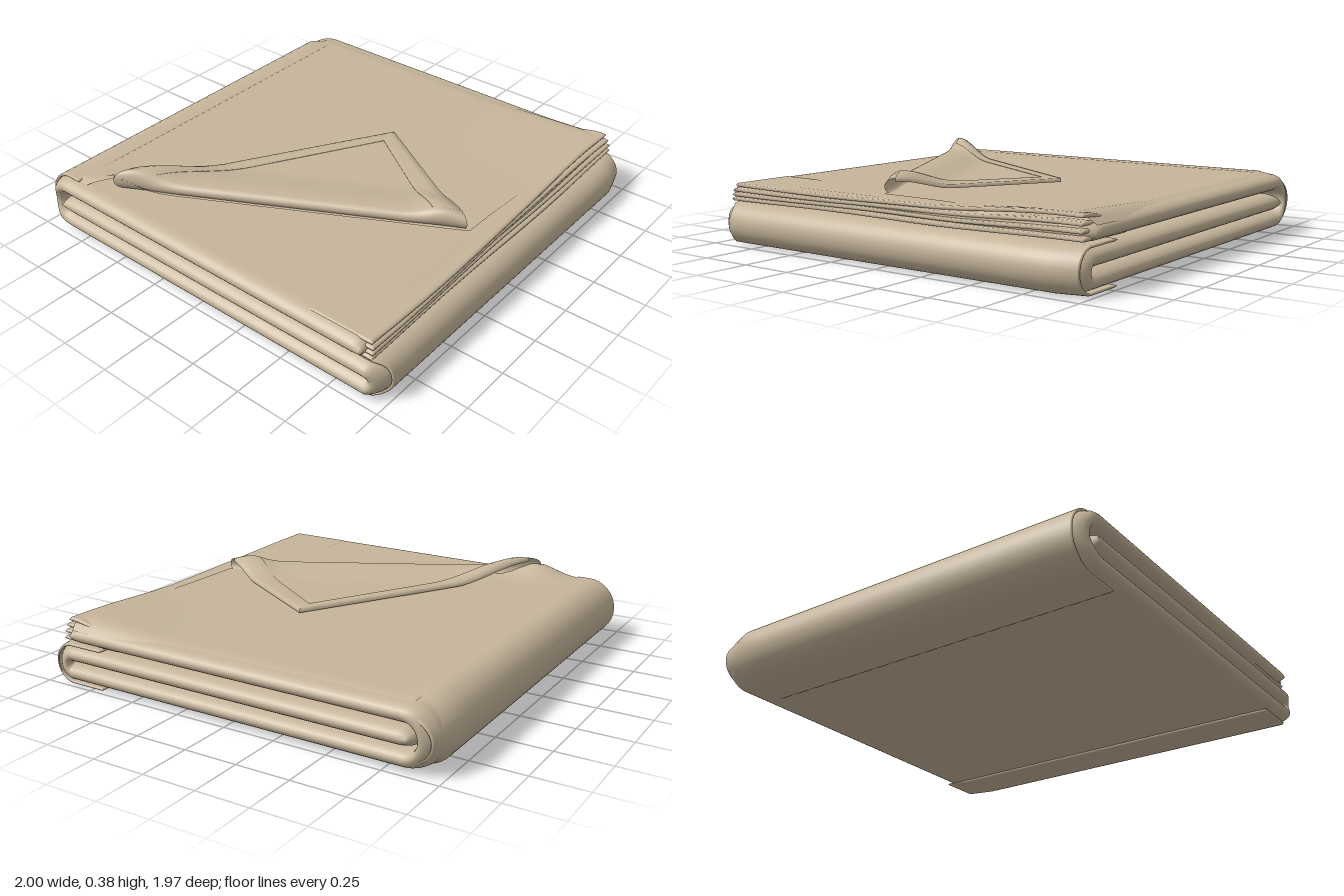
import * as THREE from 'three';
import { mergeVertices } from 'three/addons/utils/BufferGeometryUtils.js';

const { lerp, smoothstep, clamp } = THREE.MathUtils;
const fabric = new THREE.MeshStandardMaterial({ color: 0xc6b59b, side: THREE.DoubleSide });
fabric.name = 'beige fabric';

// Smooth surface from a rule fn(i, j) -> [x, y, z]
function surface(nu, nv, fn) {
  const pos = [], idx = [];
  for (let i = 0; i <= nu; i++) for (let j = 0; j <= nv; j++) pos.push(...fn(i, j));
  for (let i = 0; i < nu; i++) for (let j = 0; j < nv; j++) {
    const a = i * (nv + 1) + j, b = a + nv + 1;
    idx.push(a, b, b + 1, a, b + 1, a + 1);
  }
  let g = new THREE.BufferGeometry();
  g.setAttribute('position', new THREE.Float32BufferAttribute(pos, 3));
  g.setIndex(idx);
  g = mergeVertices(g, 1e-5);
  g.computeVertexNormals();
  return g;
}

// Path pieces in the x-y plane
const line = (x0, x1, y, n = 18) => Array.from({ length: n + 1 }, (_, i) =>
  new THREE.Vector2(lerp(x0, x1, (1 - Math.cos(Math.PI * i / n)) / 2), y));
const arc = (cx, cy, r, a0, a1, n = 16) => Array.from({ length: n - 1 }, (_, i) => {
  const a = lerp(a0, a1, (i + 1) / n) * Math.PI;
  return new THREE.Vector2(cx + r * Math.cos(a), cy + r * Math.sin(a));
});

// Padded sheet following a path, with rounded edges at both z ends and both path ends
function sheet(path, h, w, zBack, zFront, warp = (p) => p) {
  const dist = [0];
  for (let i = 1; i < path.length; i++) dist.push(dist[i - 1] + path[i].distanceTo(path[i - 1]));
  const total = dist[dist.length - 1], last = path.length - 1;
  // closed cross-section: two rounded edges joined by subdivided flat sides
  const ring = [], inner = [zFront - w, zBack + w];
  for (let k = 0; k <= 12; k++) {
    const a = (k / 12 - 0.5) * Math.PI;
    ring.push([Math.sin(a), inner[0] + w * Math.cos(a)]);
  }
  for (let k = 1; k < 16; k++) ring.push([1, lerp(inner[0], inner[1], k / 16)]);
  for (let k = 0; k <= 12; k++) {
    const a = (k / 12 + 0.5) * Math.PI;
    ring.push([Math.sin(a), inner[1] + w * Math.cos(a)]);
  }
  for (let k = 1; k <= 16; k++) ring.push([-1, lerp(inner[1], inner[0], k / 16)]);
  return surface(last, ring.length - 1, (i, j) => {
    const t = path[Math.min(i + 1, last)].clone().sub(path[Math.max(i - 1, 0)]).normalize();
    const e = 1 - Math.min(Math.min(dist[i], total - dist[i]) / h, 1);
    const n = h * ring[j][0] * Math.sqrt(1 - e * e);
    return warp([path[i].x - t.y * n, path[i].y + t.x * n, ring[j][1]]);
  });
}

// Pulls the corners in: chamfer at the back, small step at the front
function corners([x, y, z]) {
  const k = clamp((-0.84 - z) / 0.15, 0, 1) ** 2;
  const side = smoothstep(Math.abs(x), 0.91, 0.99);
  return [x * (1 - 0.045 * k * smoothstep(Math.abs(x), 0.5, 1)), y, z > 0.8 ? z - 0.04 * side : z];
}
// Rounds the thin outer sheets down over the back edge
function overBack([x, y, z]) {
  const k = clamp((-0.88 - z) / 0.1, 0, 1) ** 2;
  const [cx] = corners([x, y, z]);
  return [cx, 0.14 + (y - 0.14) * (1 - 0.28 * k), z];
}

// Turned-over corner: fold line A to B, tip T
const A = new THREE.Vector2(-0.62, 0.87), B = new THREE.Vector2(0.8, 0.12), T = new THREE.Vector2(0.08, -0.31);
const A2 = new THREE.Vector2(-0.5, 0.807), B2 = new THREE.Vector2(0.68, 0.183), T2 = new THREE.Vector2(0.09, -0.215);
const along = B.clone().sub(A), foldLen = along.length();
along.normalize();
const inward = new THREE.Vector2(along.y, -along.x);
const depth = T.clone().sub(B).dot(inward);
const ROLL = 0.035;
const gauss = (v, c, s) => Math.exp(-(((v - c) / s) ** 2));
const foldTop = (s) => 0.334 + 0.046 * gauss(s, 0.03, 0.08) + 0.03 * gauss(s, 0.94, 0.06);
const flapY = (s, d) => lerp(foldTop(s), 0.302, smoothstep(d, 0.05, 0.27));
function flapYAt(p) {
  const d = p.clone().sub(A).dot(inward), t = d / depth;
  const q = p.clone().addScaledVector(T, -t).divideScalar(Math.max(1 - t, 0.05));
  return flapY(clamp(q.sub(A).dot(along) / foldLen, 0, 1), d);
}

function flap() {
  const rollRows = 12, flatRows = 30;
  return surface(48, rollRows + flatRows, (i, j) => {
    const s = i / 48;
    let d, y;
    if (j <= rollRows) {
      const a = (j / rollRows - 0.5) * Math.PI, r = (foldTop(s) - 0.278) / 2;
      d = ROLL * (1 - Math.cos(a));
      y = 0.278 + r + r * Math.sin(a);
    } else {
      d = lerp(ROLL, depth, (j - rollRows) / flatRows);
      y = flapY(s, d);
    }
    const p = A.clone().lerp(B, s).lerp(T, d / depth);
    return [p.x, y, p.y];
  });
}

// Hem strip along one edge of the flap: outer side, raised top, inner step
function hem(o0, o1, i0, i1, t0, t1) {
  const prof = [[0, -0.014], [0, 0.004], [0, 0.004], [0.33, 0.004], [0.67, 0.004], [1, 0.004], [1, -0.001]];
  return surface(30, prof.length - 1, (i, j) => {
    const t = lerp(t0, t1, i / 30);
    const p = o0.clone().lerp(o1, t).lerp(i0.clone().lerp(i1, t), prof[j][0]);
    return [p.x, flapYAt(p) + prof[j][1], p.y];
  });
}

// Top sheet, cut off along the fold line
function topSheet() {
  const rightEdge = (z) => z < B.y ? lerp(0.89, 0.81, smoothstep(z, -1.3, B.y))
    : z < A.y ? lerp(B.x, A.x, (z - B.y) / (A.y - B.y)) : A.x - (z - A.y) * 2.5;
  return surface(40, 70, (i, j) => {
    const z = lerp(0.93, -0.98, j / 70), x = lerp(-0.857, rightEdge(z), i / 40);
    let y = 0.282 + 0.06 * gauss(x, -0.6, 0.12) * gauss(z, 0.86, 0.09);
    y += 0.028 * smoothstep(x, 0.2, 0.9) * smoothstep(-z, 0.3, 0.9);
    y -= 0.02 * clamp((z - 0.9) / 0.03, 0, 1) ** 2;
    return overBack([x, y, z]);
  });
}

export function createModel() {
  const group = new THREE.Group();
  group.name = 'foldedBlanket';
  const add = (name, geometry) => {
    const m = new THREE.Mesh(geometry, fabric);
    m.name = name;
    group.add(m);
  };

  // Main padded layers, rolled as a flat spiral
  add('foldedLayers', sheet([
    ...line(-0.89, 0.905, 0.138),
    ...arc(0.905, 0.094, 0.044, 0.5, -0.5),
    ...line(0.905, -0.857, 0.05),
    ...arc(-0.857, 0.1425, 0.0925, -0.5, -1.5),
    ...line(-0.857, 0.9, 0.235),
  ], 0.04, 0.07, -0.99, 0.98, corners));

  // Thin outer sheets around the two side folds
  add('leftFold', sheet([
    ...line(-0.7, -0.857, 0.008, 6),
    ...arc(-0.857, 0.1425, 0.137, -0.5, -1.5),
    ...line(-0.857, -0.8, 0.278, 6),
  ], 0.006, 0.006, -0.98, 0.93, overBack));
  add('rightFold', sheet([
    ...line(0.7, 0.907, 0.186, 6),
    ...arc(0.907, 0.096, 0.089, 0.5, -0.5),
    ...line(0.907, 0.7, 0.006, 6),
  ], 0.006, 0.006, -0.975, 0.94, corners));

  // Open sheet edges stacked on the right
  for (let k = 0; k < 4; k++) {
    add('sheetEdge' + (k + 1), sheet(line(0.6, 0.935 - 0.006 * k, 0.206 + 0.02 * k, 14), 0.0095, 0.012,
      -0.965 + 0.005 * k, 0.95 - 0.005 * k, ([x, y, z]) => [
        x - smoothstep(x, 0.7, 0.93) * (0.022 * smoothstep(-z, -0.9, 0.9) + 0.008 * Math.sin(3 * z + k)),
        y + smoothstep(x, 0.65, 0.9) * (0.01 * (k + 0.5) * smoothstep(-z, 0.2, 0.85)) + 0.002 * Math.sin(5 * z + k), z]));
  }

  // Top sheet with its turned-over corner
  add('topSheet', topSheet());
  add('cornerFlap', flap());
  add('leftHem', hem(T, A, T2, A2, 0, 0.94));
  add('rightHem', hem(B, T, B2, T2, 0.06, 1));
  return group;
}
